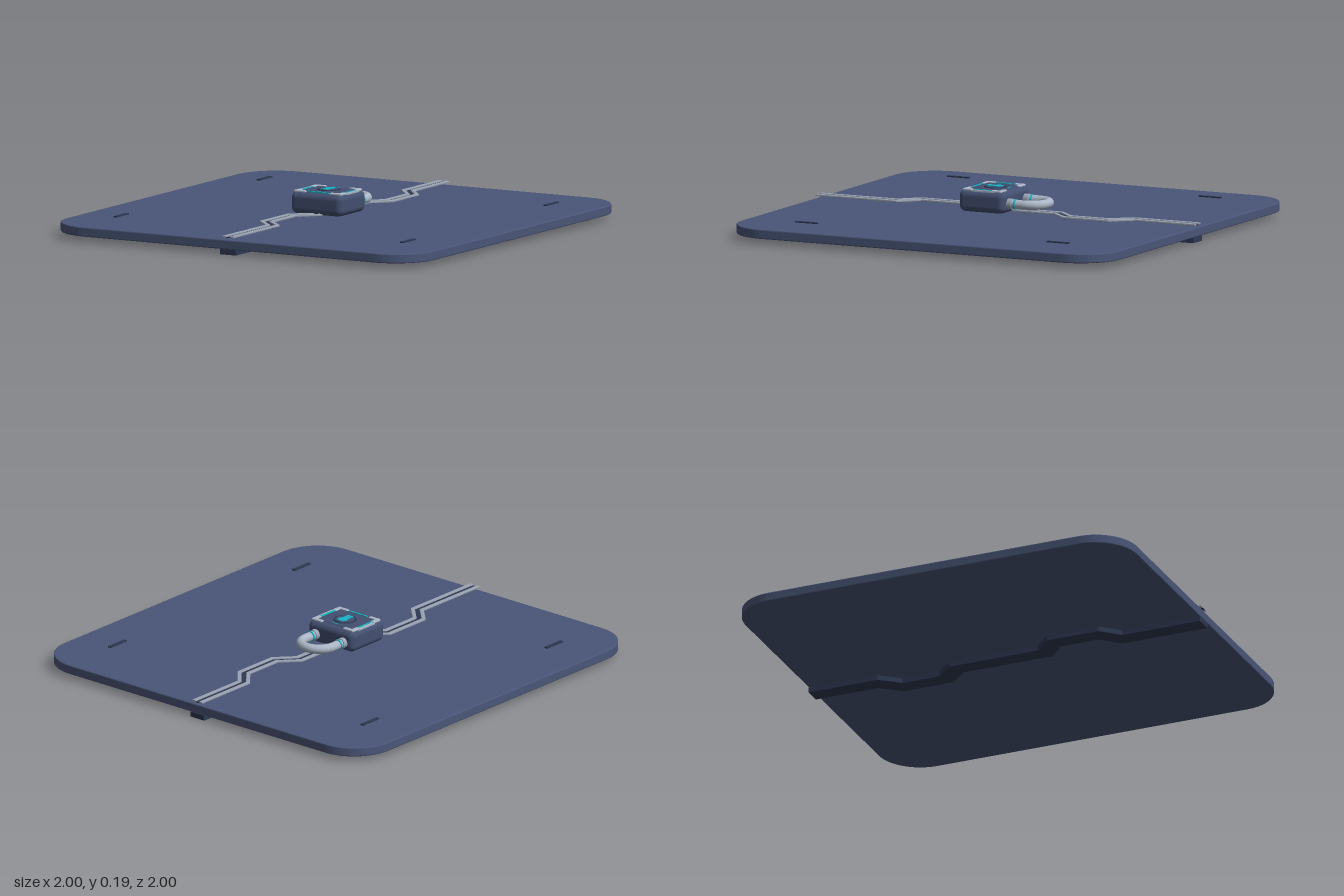
import * as THREE from 'three';
import { RoundedBoxGeometry } from 'three/addons/geometries/RoundedBoxGeometry.js';

const mat = (name, color) => Object.assign(new THREE.MeshStandardMaterial({ color }), { name });

export function createModel() {
  const slabBlue = mat('slab blue', 0x4a5678);
  const bodyBlue = mat('body blue', 0x434f70);
  const dark = mat('dark navy', 0x2e3852);
  const steel = mat('steel', 0x9aa3b3);
  const silver = mat('light steel', 0xaab6c6);
  const cyan = mat('cyan', 0x18b4c4);

  const model = new THREE.Group();
  model.name = 'lockedHatch';
  const lock = new THREE.Group();
  lock.name = 'padlock';
  model.add(lock);

  const add = (parent, name, geo, material, x = 0, y = 0, z = 0) => {
    const m = new THREE.Mesh(geo, material);
    m.name = name;
    m.position.set(x, y, z);
    parent.add(m);
    return m;
  };
  // Flat outline in (x, z), extruded upwards from y0 to y1
  const plate = (shape, y0, y1, bevel = 0) => {
    const g = new THREE.ExtrudeGeometry(shape, {
      depth: y1 - y0 - 2 * bevel, bevelEnabled: bevel > 0, bevelThickness: bevel,
      bevelSize: bevel, bevelOffset: -bevel, bevelSegments: 2, curveSegments: 16,
    });
    g.rotateX(-Math.PI / 2);
    g.translate(0, y0 + bevel, 0);
    return g;
  };

  // Zigzag seam from back to front
  const seam = [[0, -1], [0, -0.665], [0.08, -0.57], [0.08, -0.35], [0, -0.265],
    [0, 0.19], [-0.085, 0.27], [-0.085, 0.5], [0, 0.585], [0, 1]].map(p => new THREE.Vector2(p[0], -p[1]));
  // Parallel line to the seam, with mitred corners
  const offset = d => seam.map((p, i) => {
    const a = p.clone().sub(seam[Math.max(i - 1, 0)]);
    const b = seam[Math.min(i + 1, seam.length - 1)].clone().sub(p);
    if (i === 0) a.copy(b);
    if (i === seam.length - 1) b.copy(a);
    a.normalize(); b.normalize();
    const n = new THREE.Vector2(-a.y - b.y, a.x + b.x).normalize();
    return p.clone().addScaledVector(n, d / (-n.x * a.y + n.y * a.x));
  });
  const ribbon = (d0, d1) => new THREE.Shape([...offset(d0), ...offset(d1).reverse()]);

  // Two door halves meeting at the seam
  for (const s of [-1, 1]) {
    const h = new THREE.Shape();
    h.moveTo(seam[0].x, seam[0].y);
    seam.slice(1).forEach(p => h.lineTo(p.x, p.y));
    h.lineTo(s * 0.79, -1);
    h.absarc(s * 0.79, -0.79, 0.21, -Math.PI / 2, s > 0 ? 0 : -Math.PI, s < 0);
    h.lineTo(s, 0.79);
    h.absarc(s * 0.79, 0.79, 0.21, s > 0 ? 0 : Math.PI, Math.PI / 2, s < 0);
    add(model, s > 0 ? 'leftDoor' : 'rightDoor', plate(h, 0.025, 0.07, 0.005), slabBlue);
    // Raised rail beside the seam
    add(model, 'seamRail', plate(ribbon(s * 0.011, s * 0.03), 0.08, 0.089, 0.002), steel);
    // Narrow slots near the corners
    for (const z of [-0.665, 0.66])
      add(model, 'cornerSlot', new THREE.BoxGeometry(0.018, 0.006, 0.115), dark, s * 0.78, 0.083, z);
  }
  add(model, 'seamBacking', plate(ribbon(-0.043, 0.043), 0, 0.025), dark);
  add(model, 'seamGap', plate(ribbon(-0.011, 0.011), 0.08, 0.083), dark);

  // Padlock body and top panel
  const cz = 0.073;
  add(lock, 'lockBody', new RoundedBoxGeometry(0.28, 0.104, 0.24, 5, 0.03), bodyBlue, 0, 0.132, cz);
  add(lock, 'topPanel', new RoundedBoxGeometry(0.2, 0.01, 0.17, 2, 0.004), bodyBlue, 0, 0.182, cz);

  // Corner brackets and side lights
  for (const sx of [-1, 1]) {
    for (const sz of [-1, 1]) {
      add(lock, 'bracketLong', new RoundedBoxGeometry(0.062, 0.012, 0.02, 2, 0.005), silver, sx * 0.096, 0.184, cz + sz * 0.092);
      add(lock, 'bracketShort', new RoundedBoxGeometry(0.022, 0.012, 0.05, 2, 0.005), silver, sx * 0.118, 0.184, cz + sz * 0.075);
    }
    add(lock, 'sideTrim', new THREE.BoxGeometry(0.02, 0.008, 0.12), silver, sx * 0.122, 0.182, cz - 0.005);
    add(lock, 'sideLight', new THREE.BoxGeometry(0.009, 0.008, 0.115), cyan, sx * 0.115, 0.184, cz - 0.005);
  }
  add(lock, 'frontLight', new THREE.BoxGeometry(0.11, 0.006, 0.009), cyan, 0, 0.186, 0.162);
  add(lock, 'backLight', new THREE.BoxGeometry(0.035, 0.006, 0.005), cyan, 0, 0.186, -0.004);

  // Keyhole plate
  add(lock, 'keyholeDisc', new THREE.CylinderGeometry(0.054, 0.057, 0.006, 32), dark, 0, 0.187, 0.065);
  add(lock, 'keyholeFace', new THREE.CylinderGeometry(0.046, 0.046, 0.006, 32), bodyBlue, 0, 0.188, 0.065);
  const key = new THREE.Shape();
  key.absarc(0, -0.05, 0.023, -0.9, Math.PI + 0.9, false);
  key.lineTo(-0.017, -0.108);
  key.lineTo(0.017, -0.108);
  add(lock, 'keyhole', plate(key, 0.19, 0.194), cyan);

  // Shackle: two legs joined by a half ring, lying flat
  const y = 0.125, r = 0.085, bend = -0.122;
  const ring = new THREE.TorusGeometry(r, 0.022, 16, 32, Math.PI);
  ring.rotateX(-Math.PI / 2);
  add(lock, 'shackleBend', ring, silver, 0, y, bend);
  const rod = (rad, len) => new THREE.CylinderGeometry(rad, rad, len, 20).rotateX(Math.PI / 2);
  for (const s of [-1, 1]) {
    add(lock, 'shackleLeg', rod(0.022, 0.1), silver, s * r, y, bend + 0.05);
    add(lock, 'shackleRing', rod(0.025, 0.008), cyan, s * r, y, -0.085);
    add(lock, 'shackleCollar', rod(0.026, 0.03), steel, s * r, y, -0.055);
  }
  return model;
}
